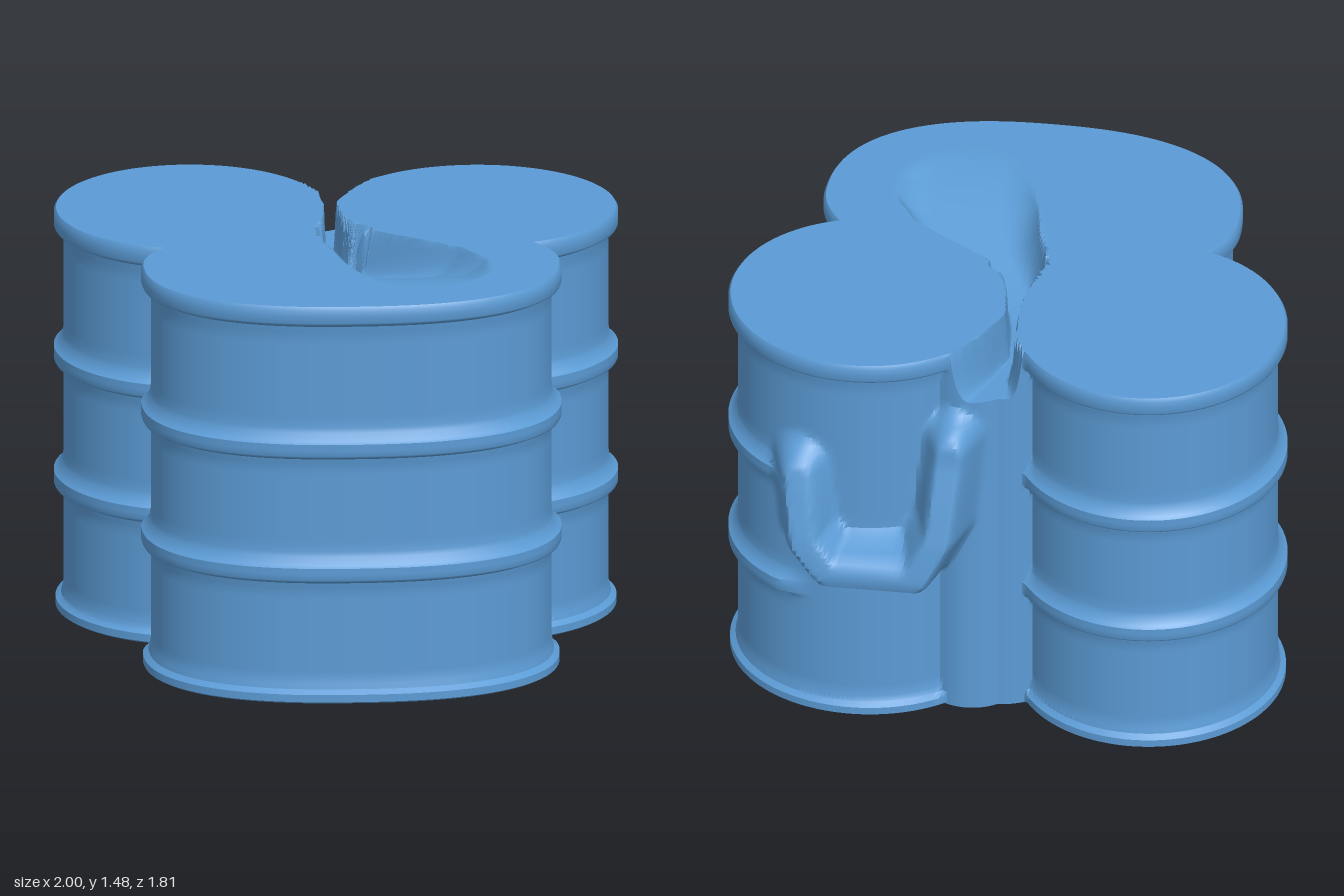
import * as THREE from 'three';
import { toCreasedNormals } from 'three/addons/utils/BufferGeometryUtils.js';

const TOP = 1.475, WALL = -0.035, N = 400;
const { smoothstep, lerp, clamp } = THREE.MathUtils;

// Piecewise linear lookup: rows are [key, value, value...]
function lookup(rows, key, col) {
  if (key <= rows[0][0]) return rows[0][col];
  for (let i = 1; i < rows.length; i++) {
    const a = rows[i - 1], b = rows[i];
    if (key <= b[0]) return lerp(a[col], b[col], (key - a[0]) / (b[0] - a[0]));
  }
  return rows[rows.length - 1][col];
}

// Plan outline: three drums plus fillers closing the gap at the back
function oval(x, z, cx, cz, a, b, p) {
  return Math.pow(Math.abs(x - cx) / a, p) + Math.pow(Math.abs(z - cz) / b, p) < 1;
}
function inside(x, z, o) {
  return oval(x, z, -0.515, -0.33, 0.485 + o, 0.51 + o, 2)
    || oval(x, z, 0.5, -0.29, 0.5 + o, 0.49 + o, 2)
    || (z > 0.36 ? oval(x, z, 0.015, 0.36, 0.745 + o, 0.545 + o, 2.4)
      : oval(x, z, 0.015, 0.36, 0.745 + o, 0.45 + o, 2))
    || oval(x, z, 0, -0.42, 0.2, 0.2, 2)
    || oval(x, z, 0.1, -0.49, 0.17, 0.17, 2);
}
function reach(angle, o) {
  const s = Math.sin(angle), c = Math.cos(angle);
  let hi = 1.2;
  while (hi > 0.1 && !inside(s * hi, c * hi, o)) hi -= 0.02;
  let lo = hi;
  hi += 0.02;
  for (let i = 0; i < 16; i++) {
    const m = (lo + hi) / 2;
    if (inside(s * m, c * m, o)) lo = m; else hi = m;
  }
  return lo;
}

// Teardrop scoop in the lid, narrowing to a groove: z, left edge, right edge
const scoop = [
  [-0.68, -0.16, 0.18], [-0.6, -0.1, 0.12], [-0.5, -0.055, 0.06], [-0.35, -0.04, 0],
  [-0.2, -0.05, 0.02], [-0.1, -0.065, 0.05], [0, -0.09, 0.12], [0.1, -0.07, 0.27],
  [0.2, -0.04, 0.41], [0.35, -0.01, 0.5], [0.5, 0.04, 0.5], [0.62, 0.11, 0.42], [0.69, 0.2, 0.3],
];
function scoopDepth(x, z) {
  if (z > 0.69 || z < -0.7) return 0;
  const l = lookup(scoop, z, 1), r = lookup(scoop, z, 2), t = (x - l) / (r - l);
  if (t <= 0 || t >= 1) return 0;
  const s = Math.min(1, 5 * t * (1 - t));
  return 0.19 * smoothstep(0.69 - z, 0, 0.85) * s * (2 - s);
}

// U-shaped raised lip on the back of the +x drum
const lip = [[0.14, 1.14], [0.17, 0.82], [0.25, 0.66], [0.56, 0.66], [0.65, 0.77], [0.68, 1.02]];
const lipZ = [[0.56, -0.89], [0.65, -0.91], [0.8, -0.885], [0.95, -0.845], [1.1, -0.8], [1.2, -0.785]];
function lipDistance(x, y) {
  let best = 9;
  for (let i = 1; i < lip.length; i++) {
    const [ax, ay] = lip[i - 1], [bx, by] = lip[i], dx = bx - ax, dy = by - ay;
    const t = clamp(((x - ax) * dx + (y - ay) * dy) / (dx * dx + dy * dy), 0, 1);
    best = Math.min(best, Math.hypot(x - ax - dx * t, y - ay - dy * t));
  }
  return best;
}

// Side profile: height, outward offset
function sideProfile() {
  const key = [[0, -0.02], [0.008, -0.006], [0.035, -0.006], [0.05, -0.026], [0.09, WALL]];
  for (const y of [0.455, 0.915]) {
    key.push([y - 0.05, WALL], [y - 0.012, -0.028], [y, -0.003], [y + 0.006, 0],
      [y + 0.05, 0], [y + 0.058, -0.01], [y + 0.085, -0.03], [y + 0.12, WALL]);
  }
  key.push([1.35, WALL], [1.395, -0.028], [1.408, -0.003], [1.415, 0], [1.462, 0], [TOP, -0.008]);
  const rows = [key[0]];
  for (let i = 1; i < key.length; i++) {
    const [y0, o0] = key[i - 1], [y1, o1] = key[i];
    const n = Math.max(1, Math.round((y1 - y0) / 0.022));
    for (let k = 1; k <= n; k++) rows.push([lerp(y0, y1, k / n), lerp(o0, o1, k / n)]);
  }
  return rows;
}

// Skin a stack of closed loops
function skin(loops) {
  const pos = loops.flat(2), index = [];
  for (let j = 0; j < loops.length - 1; j++) {
    for (let i = 0; i < N; i++) {
      const a = j * N + i, b = j * N + (i + 1) % N;
      index.push(a, b, b + N, a, b + N, a + N);
    }
  }
  const g = new THREE.BufferGeometry();
  g.setAttribute('position', new THREE.Float32BufferAttribute(pos, 3));
  g.setIndex(index);
  return toCreasedNormals(g, 0.7);
}

export function createModel() {
  const group = new THREE.Group();
  const blue = new THREE.MeshStandardMaterial({ color: 0x5b9bd5 });
  blue.name = 'blue';
  const add = (name, geometry) => {
    const mesh = new THREE.Mesh(geometry, blue);
    mesh.name = name;
    group.add(mesh);
  };
  const angles = Array.from({ length: N }, (_, i) => (i / N) * Math.PI * 2);

  // Ribbed drum walls; ribs fade out on the back of the +x drum
  const wall = sideProfile().map(([y, offset]) => angles.map((angle) => {
    const s = Math.sin(angle), c = Math.cos(angle);
    const back = Math.atan2(s, -c);
    const fade = y > 0.1 && y < 1.37
      ? smoothstep(back, -0.08, 0.05) * (1 - smoothstep(back, 0.72, 0.85)) : 0;
    const r = reach(angle, lerp(offset, WALL, fade));
    const x = s * r;
    let z = c * r;
    const h = Math.min(y, TOP - scoopDepth(x, z));
    if (z < -0.35 && x > -0.05 && x < 0.85 && y > 0.5 && y < 1.3) {
      const w = 1 - smoothstep(lipDistance(x, y), 0.035, 0.12);
      z = Math.min(z, lerp(z, lookup(lipZ, y, 1), w));
    }
    return [x, h, z];
  }));
  add('drumWalls', skin(wall));

  // Lid with the scoop pressed into it
  const edge = wall[wall.length - 1], steps = 44, lid = [];
  for (let k = 0; k <= steps; k++) {
    const t = 1 - k / steps;
    lid.push(edge.map(([x, , z]) => [x * t, TOP - scoopDepth(x * t, z * t), z * t]));
  }
  add('lid', skin(lid));

  // Flat base
  add('base', skin([wall[0].map(() => [0, 0, 0]), wall[0]]));
  return group;
}
